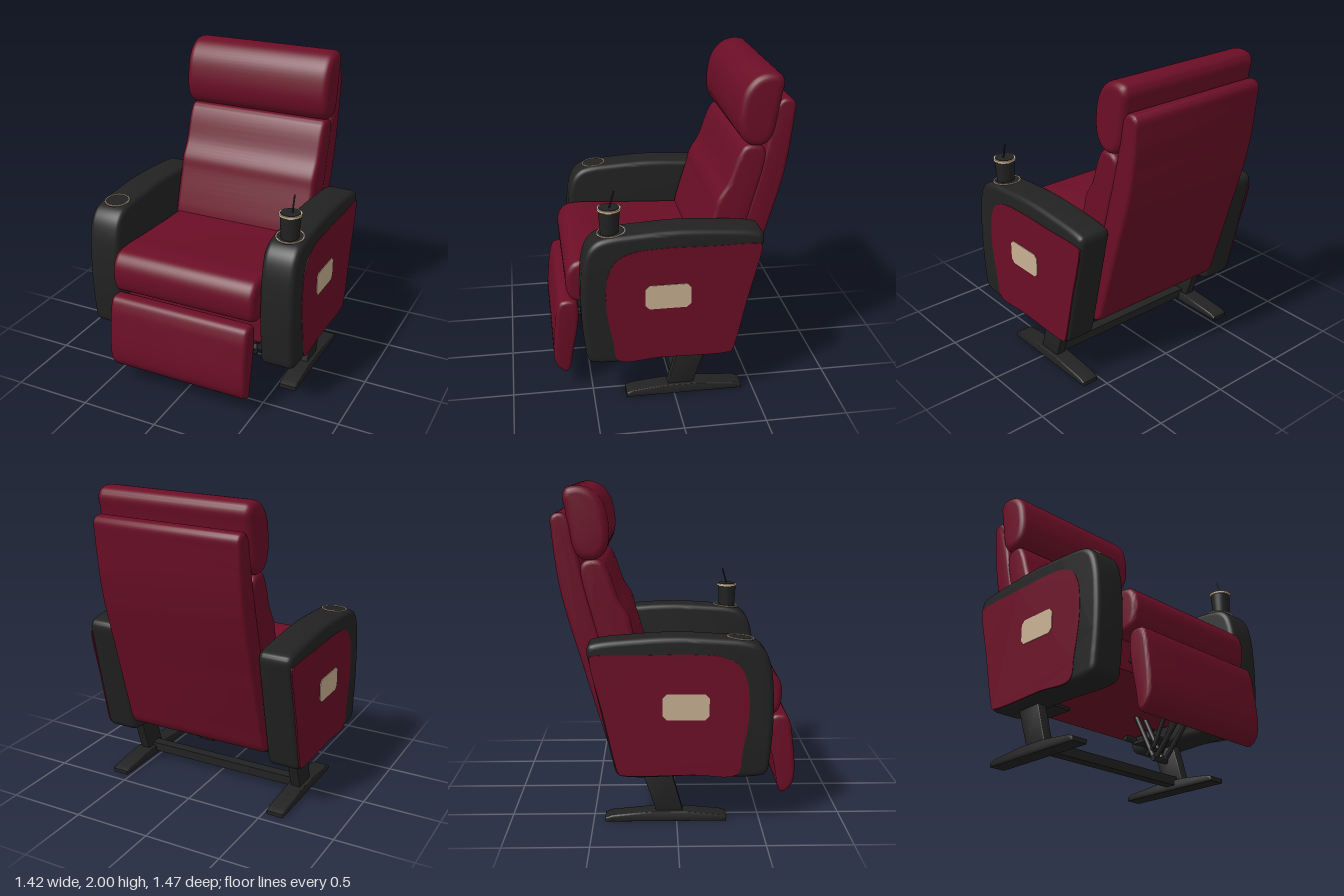
import * as THREE from 'three';
import { toCreasedNormals } from 'three/addons/utils/BufferGeometryUtils.js';

const material = (name, color) => {
  const m = new THREE.MeshStandardMaterial({ color });
  m.name = name;
  return m;
};

export function createModel() {
  const red = material('burgundy upholstery', 0x6b0e26);
  const black = material('black trim', 0x222222);
  const beige = material('beige accent', 0xc8b092);
  const chair = new THREE.Group();
  chair.name = 'reclinerChair';

  function add(name, geometry, mat, x = 0, y = 0, z = 0, parent = chair) {
    const mesh = new THREE.Mesh(geometry, mat);
    mesh.name = name;
    mesh.position.set(x, y, z);
    parent.add(mesh);
    return mesh;
  }

  // Side profile given as [z, y] pairs, extruded across x about its middle, with rounded ends
  function slab(profile, width, bevel, smooth = true) {
    let pts = profile.map(([z, y]) => new THREE.Vector3(z, y, 0));
    if (smooth) {
      pts = new THREE.CatmullRomCurve3(pts, true, 'centripetal').getPoints(profile.length * 5);
      pts.pop();
    }
    const shape = new THREE.Shape(pts.map(p => new THREE.Vector2(p.x, p.y)));
    const depth = width - 2 * bevel;
    const g = new THREE.ExtrudeGeometry(shape, {
      depth, steps: 1, bevelEnabled: bevel > 0, bevelThickness: bevel,
      bevelSize: bevel, bevelOffset: -bevel, bevelSegments: 5,
    });
    g.translate(0, 0, -depth / 2);
    g.rotateY(-Math.PI / 2);
    return toCreasedNormals(g, 0.7);
  }

  // Round bar between two points
  function rod(name, a, b, radius, mat = black, parent = chair) {
    const from = new THREE.Vector3(...a), to = new THREE.Vector3(...b);
    const dir = to.clone().sub(from);
    const mesh = add(name, new THREE.CylinderGeometry(radius, radius, dir.length(), 12), mat, 0, 0, 0, parent);
    mesh.position.copy(from).add(to).multiplyScalar(0.5);
    mesh.quaternion.setFromUnitVectors(new THREE.Vector3(0, 1, 0), dir.normalize());
    return mesh;
  }

  // Upholstery
  add('backShell', slab([
    [-0.37, 0.39], [-0.41, 0.43], [-0.44, 0.52], [-0.56, 0.93], [-0.685, 1.38], [-0.732, 1.74],
    [-0.735, 1.81], [-0.71, 1.838], [-0.66, 1.84], [-0.62, 1.8], [-0.595, 1.68],
    [-0.52, 1.35], [-0.38, 0.85], [-0.27, 0.48], [-0.28, 0.41],
  ], 0.97, 0.025), red);
  add('backCushion', slab([
    [-0.17, 0.72], [-0.18, 0.86], [-0.21, 0.98], [-0.26, 1.15], [-0.28, 1.23], [-0.34, 1.33],
    [-0.4, 1.5], [-0.44, 1.56], [-0.5, 1.57], [-0.55, 1.55], [-0.57, 1.5],
    [-0.5, 1.2], [-0.38, 0.8], [-0.3, 0.7],
  ], 0.975, 0.03), red);
  add('headrest', slab([
    [-0.47, 1.57], [-0.42, 1.61], [-0.395, 1.68], [-0.395, 1.78], [-0.425, 1.9], [-0.49, 1.975],
    [-0.57, 2.0], [-0.64, 1.985], [-0.662, 1.94], [-0.65, 1.87], [-0.63, 1.75], [-0.6, 1.62], [-0.55, 1.57],
  ], 1.01, 0.045), red);
  add('seatCushion', slab([
    [0.56, 0.61], [0.62, 0.64], [0.645, 0.73], [0.635, 0.82], [0.59, 0.875], [0.5, 0.89],
    [0.3, 0.88], [0, 0.865], [-0.25, 0.855], [-0.33, 0.84], [-0.34, 0.66], [-0.3, 0.6], [0, 0.59], [0.4, 0.6],
  ], 0.97, 0.035), red);
  add('seatBase', slab([[0.48, 0.62], [0.48, 0.42], [-0.3, 0.4], [-0.36, 0.62]], 0.95, 0.015, false), red);
  add('footrest', slab([
    [0.61, 0.613], [0.68, 0.605], [0.705, 0.55], [0.72, 0.45], [0.735, 0.26], [0.725, 0.18], [0.69, 0.13],
    [0.655, 0.117], [0.635, 0.14], [0.615, 0.25], [0.585, 0.4], [0.572, 0.52], [0.58, 0.59],
  ], 0.945, 0.025), red);

  // Arms with side panels, plates, cup holders and legs
  for (const s of [1, -1]) {
    const arm = new THREE.Group();
    arm.name = s > 0 ? 'leftArm' : 'rightArm';
    chair.add(arm);
    add('armrest', slab([
      [0.5, 0.305], [0.535, 0.33], [0.55, 0.41], [0.567, 0.6], [0.567, 0.8], [0.553, 0.95], [0.52, 1.05],
      [0.47, 1.1], [0.4, 1.122], [0.25, 1.135], [0, 1.147], [-0.25, 1.135], [-0.47, 1.112], [-0.512, 1.095],
      [-0.523, 1.06], [-0.51, 0.99], [-0.44, 0.67], [-0.375, 0.38], [-0.36, 0.33], [-0.33, 0.305], [0.1, 0.305],
    ], 0.215, 0.035), black, s * 0.597, 0, 0, arm);
    add('sidePanel', slab([
      [0.355, 0.318], [0.385, 0.45], [0.42, 0.65], [0.423, 0.78], [0.405, 0.9], [0.355, 0.985], [0.26, 1.03],
      [0.1, 1.045], [-0.2, 1.042], [-0.5, 1.035], [-0.508, 1.025], [-0.43, 0.68], [-0.36, 0.37],
      [-0.345, 0.33], [-0.33, 0.318], [0.1, 0.318],
    ], 0.009, 0), red, s * 0.7025, 0, 0, arm);
    add('sidePlate', slab([
      [0.19, 0.68], [0.165, 0.655], [-0.06, 0.655], [-0.085, 0.68], [-0.085, 0.785],
      [-0.06, 0.81], [0.165, 0.81], [0.19, 0.785],
    ], 0.006, 0, false), beige, s * 0.708, 0, 0, arm);

    const holder = new THREE.Group();
    holder.name = 'cupHolder';
    holder.position.set(s * 0.597, 1.126, 0.375);
    holder.rotation.x = 0.1;
    arm.add(holder);
    const ringRadius = s > 0 ? 0.083 : 0.076;
    const ring = new THREE.TorusGeometry(ringRadius, 0.005, 8, 40).rotateX(Math.PI / 2);
    add('holderRing', ring, beige, 0, 0, 0, holder);
    add('holderWell', new THREE.CylinderGeometry(ringRadius, ringRadius, 0.03, 40), black, 0, -0.014, 0, holder);

    // Leg, foot and mounting bracket
    add('leg', slab([[0.04, 0.05], [-0.12, 0.05], [-0.21, 0.32], [-0.035, 0.32]], 0.065, 0.006, false),
      black, s * 0.577, 0, 0, arm);
    add('foot', slab([
      [0.3, 0], [0.3, 0.028], [0.26, 0.042], [0.06, 0.062], [-0.15, 0.062], [-0.39, 0.04], [-0.43, 0.025], [-0.43, 0],
    ], 0.115, 0.008, false), black, s * 0.577, 0, 0, arm);
    add('legBracket', new THREE.BoxGeometry(0.2, 0.02, 0.2), black, s * 0.47, 0.325, -0.12, arm);
    rod('bracketPost', [s * 0.42, 0.32, -0.12], [s * 0.42, 0.42, -0.12], 0.025, black, arm);
    rod('rearHinge', [s * 0.38, 0.385, -0.31], [s * 0.47, 0.385, -0.31], 0.022, black, arm);
    rod('footrestArm', [s * 0.36, 0.48, 0.4], [s * 0.36, 0.5, 0.6], 0.014, black, arm);
  }

  // Floor bar joining the feet
  add('crossBar', new THREE.BoxGeometry(1.1, 0.058, 0.07), black, 0, 0.056, -0.04);

  // Folding linkage below the seat
  for (const x of [0.19, 0.27]) {
    rod('longLink', [x, 0.42, 0.43], [x, 0.11, 0.15], 0.016);
    rod('rearLink', [x, 0.11, 0.13], [x, 0.42, -0.02], 0.016);
    rod('shortLink', [x, 0.42, 0.26], [x, 0.18, 0.13], 0.014);
    rod('tieLink', [x, 0.18, 0.13], [x, 0.14, 0.07], 0.014);
  }
  rod('linkAxle', [0.17, 0.105, 0.14], [0.29, 0.105, 0.14], 0.018);
  rod('linkPin', [0.18, 0.17, 0.12], [0.28, 0.17, 0.12], 0.014);

  // Drink cup with lid and straw
  const cup = new THREE.Group();
  cup.name = 'drinkCup';
  cup.position.set(0.6, 0, 0.385);
  chair.add(cup);
  add('cupBody', new THREE.CylinderGeometry(0.064, 0.053, 0.16, 32), black, 0, 1.19, 0, cup);
  add('cupRim', new THREE.CylinderGeometry(0.07, 0.07, 0.014, 32), beige, 0, 1.272, 0, cup);
  add('cupLid', new THREE.CylinderGeometry(0.06, 0.062, 0.008, 32), black, 0, 1.278, 0, cup);
  rod('straw', [0.01, 1.275, 0], [0.01, 1.382, -0.03], 0.005, black, cup);

  return chair;
}
